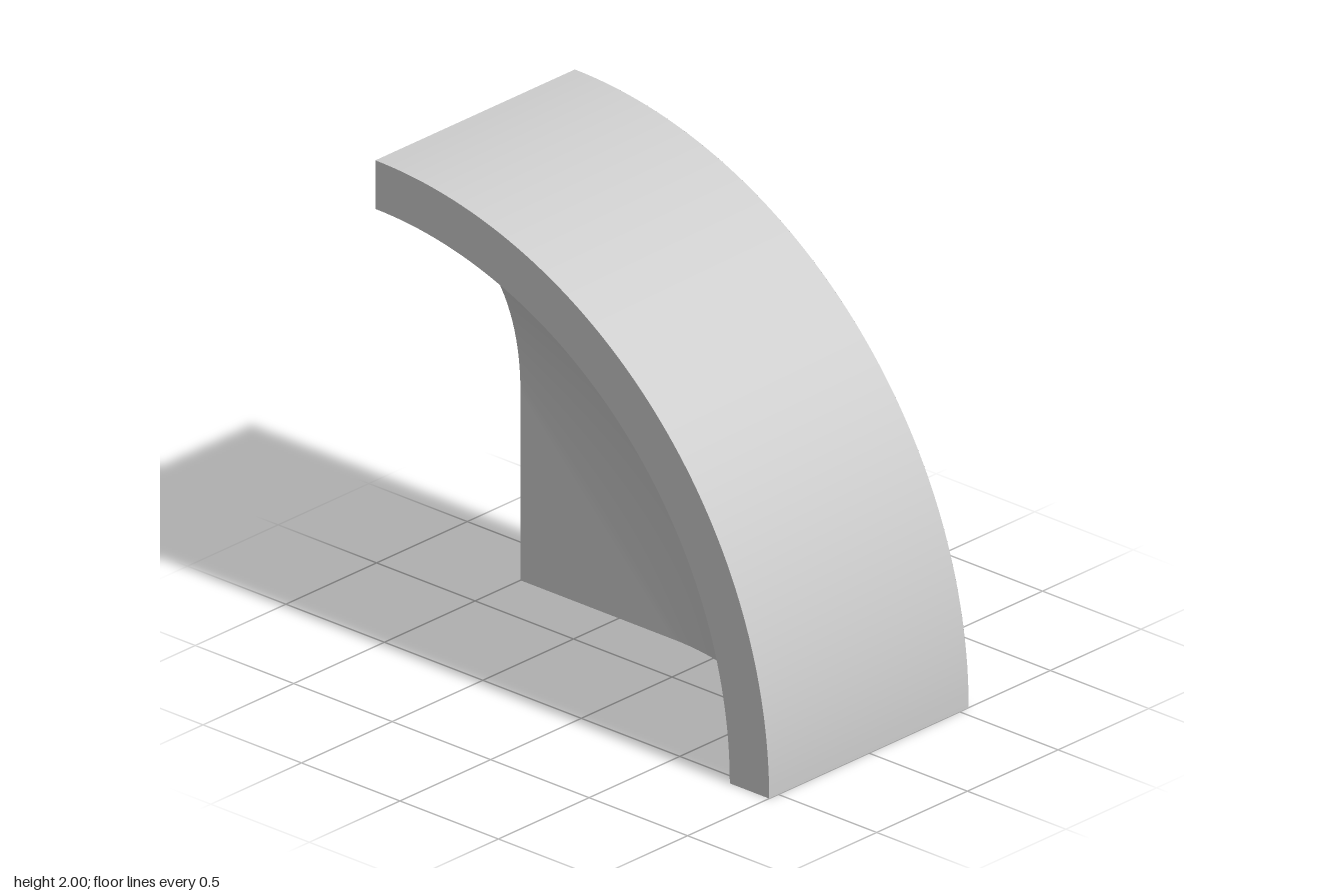
import * as THREE from 'three';
import { toCreasedNormals } from 'three/addons/utils/BufferGeometryUtils.js';
import { ParametricGeometry } from 'three/addons/geometries/ParametricGeometry.js';

const R = 2, RIM = 1.8;                       // outer and rim radius of the quarter turn
const BACK = -0.55, FRONT = 0.55, WALL = -0.25; // back face, rim face, front of the thin wall
const FLAT = 0.78;                            // legs of the flat triangle in the wall's corner
const HOLE = 0.125, INSET = 0.075, DEPTH = 0.1; // round notches cut by the straight edges
const ALPHA = Math.acos(INSET / HOLE);
const HALF = HOLE * Math.sin(ALPHA);
const SPOTS = [0.5, 1.5];

// Cove: an arc from the flat triangle's diagonal (t = 0) to the round rim (t = 1),
// at angle phi about the corner; gives (radius, z)
function covePoint(phi, t) {
  const start = FLAT / (Math.cos(phi) + Math.sin(phi));
  const run = RIM - start, rise = FRONT - WALL;
  const radius = (run * run + rise * rise) / (2 * rise);
  const a = t * Math.asin(run / radius);
  return new THREE.Vector2(start + radius * Math.sin(a), WALL + radius * (1 - Math.cos(a)));
}

// Quarter disc with round notches along both straight edges
function backShape() {
  const s = new THREE.Shape();
  s.moveTo(0, 0);
  for (const c of SPOTS) {
    s.lineTo(c - HALF, 0);
    s.absarc(c, INSET, HOLE, -Math.PI / 2 - ALPHA, -Math.PI / 2 + ALPHA, true);
  }
  s.lineTo(R, 0);
  s.absarc(0, 0, R, 0, Math.PI / 2, false);
  for (const c of [...SPOTS].reverse()) {
    s.lineTo(0, c + HALF);
    s.absarc(INSET, c, HOLE, Math.PI - ALPHA, Math.PI + ALPHA, true);
  }
  s.lineTo(0, 0);
  return s;
}

// Cross-section of the block with the notch openings on its back edge
function sideShape() {
  const s = new THREE.Shape();
  s.moveTo(0, BACK);
  for (const c of SPOTS) {
    s.lineTo(c - HALF, BACK);
    s.lineTo(c - HALF, BACK + DEPTH);
    s.lineTo(c + HALF, BACK + DEPTH);
    s.lineTo(c + HALF, BACK);
  }
  s.lineTo(R, BACK);
  s.lineTo(R, FRONT);
  for (let i = 32; i >= 0; i--) {
    const p = covePoint(0, i / 32);
    s.lineTo(p.x, p.y);
  }
  s.lineTo(0, WALL);
  return s;
}

export function createModel() {
  const group = new THREE.Group();
  group.name = 'quarterCoveBlock';
  const material = new THREE.MeshStandardMaterial({ color: 0xcccccc, side: THREE.DoubleSide });
  const body = new THREE.Group();
  body.name = 'body';
  body.position.x = -1;
  group.add(body);

  const add = (name, geometry, parent = body) => {
    const mesh = new THREE.Mesh(geometry, material);
    mesh.name = name;
    parent.add(mesh);
  };

  // Outer curve and rim, turned a quarter about z
  const profile = [[R, BACK], [R, FRONT], [RIM, FRONT]].map(p => new THREE.Vector2(...p));
  const shell = new THREE.LatheGeometry(profile, 64, Math.PI / 2, Math.PI / 2).rotateX(Math.PI / 2);
  add('curvedShell', toCreasedNormals(shell, 0.5));

  // Coved front and the flat triangle in its corner
  add('cove', new ParametricGeometry((u, v, target) => {
    const phi = (1 - u) * Math.PI / 2;
    const p = covePoint(phi, v);
    target.set(p.x * Math.cos(phi), p.x * Math.sin(phi), p.y);
  }, 64, 32));
  const corner = new THREE.Shape([[0, 0], [FLAT, 0], [0, FLAT]].map(p => new THREE.Vector2(...p)));
  add('flatCorner', new THREE.ShapeGeometry(corner).translate(0, 0, WALL));

  // Flat faces
  add('backFace', new THREE.ShapeGeometry(backShape(), 64).translate(0, 0, BACK));
  const side = new THREE.ShapeGeometry(sideShape()).rotateX(Math.PI / 2);
  add('bottomFace', side);
  add('sideFace', side.clone().rotateZ(Math.PI / 2));

  // Notch walls and floors, opening toward -y before they are turned
  const wall = new THREE.CylinderGeometry(HOLE, HOLE, DEPTH, 32, 1, true, ALPHA, 2 * (Math.PI - ALPHA))
    .rotateX(Math.PI / 2).translate(0, 0, BACK + DEPTH / 2);
  const floorShape = new THREE.Shape();
  floorShape.absarc(0, 0, HOLE, -Math.PI / 2 + ALPHA, 1.5 * Math.PI - ALPHA, false);
  const floor = new THREE.ShapeGeometry(floorShape, 32).translate(0, 0, BACK + DEPTH);
  for (const c of SPOTS) {
    for (const onSide of [false, true]) {
      const notch = new THREE.Group();
      notch.name = onSide ? 'sideNotch' : 'bottomNotch';
      notch.position.set(onSide ? INSET : c, onSide ? c : INSET, 0);
      if (onSide) notch.rotation.z = -Math.PI / 2;
      add('notchWall', wall, notch);
      add('notchFloor', floor, notch);
      body.add(notch);
    }
  }
  return group;
}
